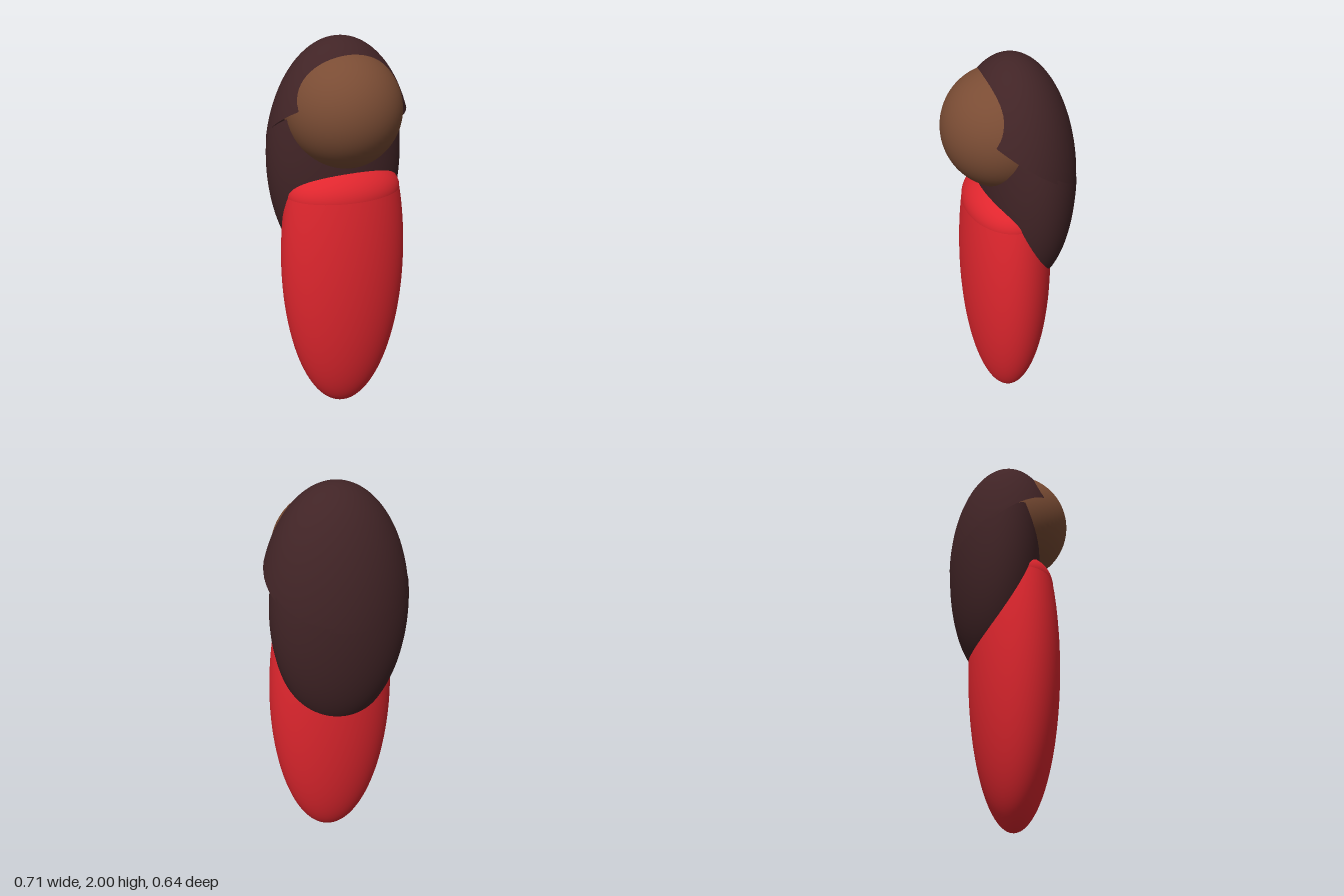
import * as THREE from 'three';

const W = 64, H = 40;
const RIM = { height: 1.6, slope: 0.7 }; // slanted hair rim plane: y = height + slope * z

// Ellipsoid patch; range(phi) gives the polar angles [start, end] for each meridian.
function ellipsoidPatch(center, radii, range) {
  const geo = new THREE.PlaneGeometry(1, 1, W, H);
  const { position, normal, uv } = geo.attributes;
  const n = new THREE.Vector3();
  for (let i = 0; i < position.count; i++) {
    const phi = uv.getX(i) * Math.PI * 2;
    const [start, end] = range(phi);
    const theta = THREE.MathUtils.lerp(end, start, uv.getY(i));
    const d = [Math.sin(theta) * Math.sin(phi), Math.cos(theta), Math.sin(theta) * Math.cos(phi)];
    position.setXYZ(i, ...d.map((v, k) => center[k] + radii[k] * v));
    n.set(...d.map((v, k) => v / radii[k])).normalize();
    normal.setXYZ(i, n.x, n.y, n.z);
  }
  return geo;
}

// Polar angle where a meridian crosses the rim plane, raised by lift.
function rimAngle([, cy, cz], [, ry, rz], phi, lift = 0) {
  const b = -RIM.slope * rz * Math.cos(phi);
  const d = RIM.height + lift + RIM.slope * cz - cy;
  return Math.atan2(b, ry) + Math.acos(d / Math.hypot(ry, b));
}

export function createModel() {
  const model = new THREE.Group();
  const add = (name, geometry, color) => {
    const material = new THREE.MeshStandardMaterial({ color, side: THREE.DoubleSide });
    const mesh = new THREE.Mesh(geometry, material);
    mesh.name = name;
    model.add(mesh);
    return mesh;
  };
  const RED = 0xe0262e, SKIN = 0x7a4c34, HAIR = 0x412426;

  // Body: tall ellipsoid cut at the shoulder line, closed with a shallow dome
  const bodyCenter = [0.004, 0.87, 0.025], bodyRadii = [0.332, 0.87, 0.227];
  const shoulderY = 1.25;
  const cut = Math.acos((shoulderY - bodyCenter[1]) / bodyRadii[1]);
  add('body', ellipsoidPatch(bodyCenter, bodyRadii, () => [cut, Math.PI]), RED);
  const domeRadii = [bodyRadii[0] * Math.sin(cut), 0.16, bodyRadii[2] * Math.sin(cut)];
  add('shoulders', ellipsoidPatch([bodyCenter[0], shoulderY, bodyCenter[2]], domeRadii,
    () => [0, Math.PI / 2]), RED);

  // Head
  add('head', new THREE.SphereGeometry(0.285, 64, 40), SKIN).position.set(0, 1.66, 0.035);

  // Upper hair: cap above the slanted rim
  const capCenter = [0, 1.38, -0.015], capRadii = [0.376, 0.62, 0.303];
  add('upperHair', ellipsoidPatch(capCenter, capRadii,
    (phi) => [0, rimAngle(capCenter, capRadii, phi)]), HAIR);

  // Lower hair: falls from under the cap into the back of the body
  const backCenter = [0, 1.4, -0.081], backRadii = [0.353, 0.63, 0.234];
  add('lowerHair', ellipsoidPatch(backCenter, backRadii,
    (phi) => [rimAngle(backCenter, backRadii, phi, 0.02), Math.PI]), HAIR);

  return model;
}
